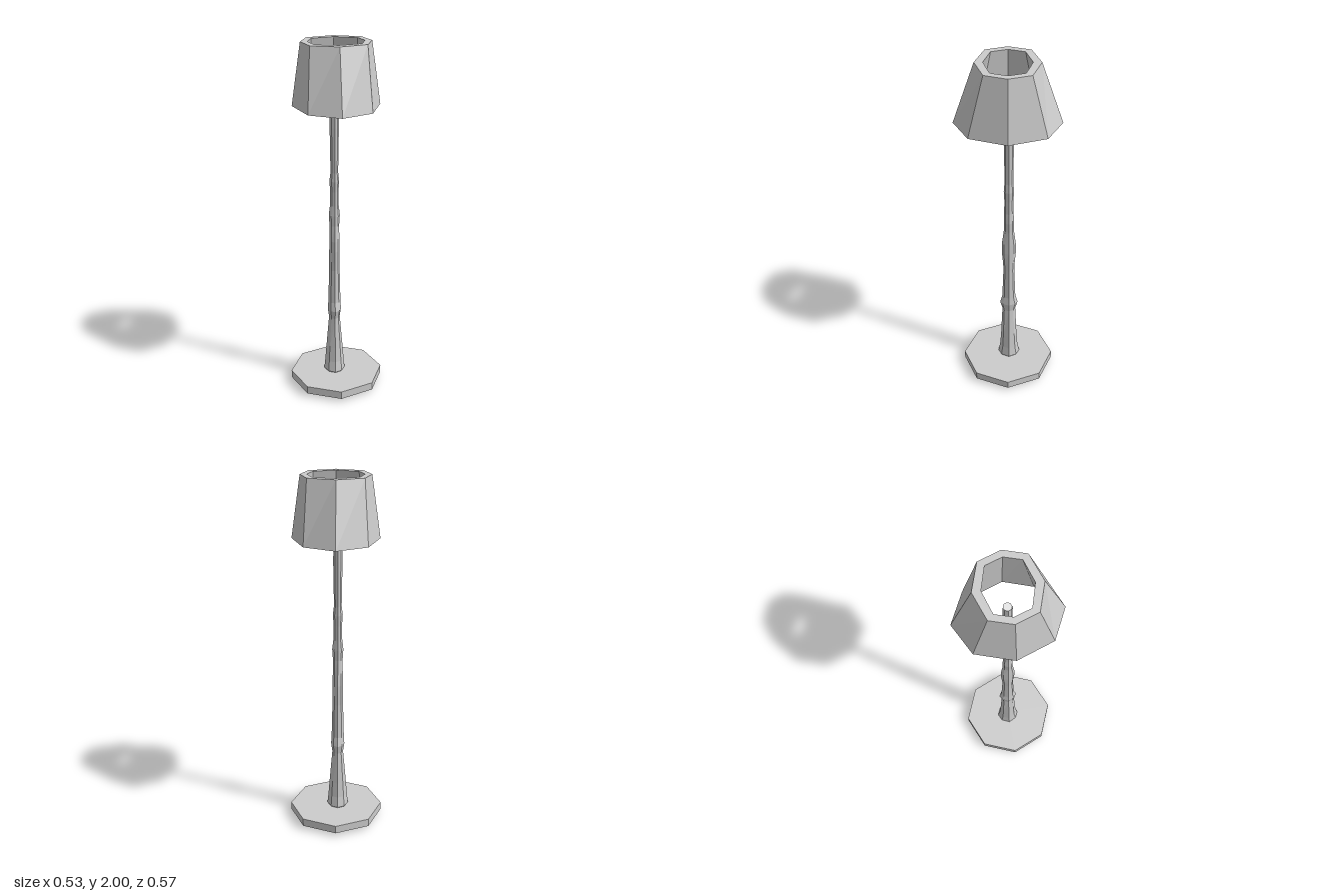
import * as THREE from 'three';

const SIDES = 8;

// Eight-sided ring: half-widths on the axes (rx, rz) and the diagonal corner (dx, dz)
function ring(y, rx, rz, dx = rx * 0.64, dz = rz * 0.71) {
  return [[0, rz], [dx, dz], [rx, 0], [dx, -dz], [0, -rz], [-dx, -dz], [-rx, 0], [-dx, dz]]
    .map(([x, z]) => new THREE.Vector3(x, y, z));
}

// Skin a list of rings, outward side on the right going up
function loft(rings) {
  const pos = [];
  const add = (...pts) => pts.forEach((p) => pos.push(p.x, p.y, p.z));
  for (let i = 0; i < rings.length - 1; i++) {
    for (let j = 0; j < SIDES; j++) {
      const k = (j + 1) % SIDES;
      const [a, b, c, d] = [rings[i][j], rings[i][k], rings[i + 1][k], rings[i + 1][j]];
      add(a, b, c, a, c, d);
    }
  }
  const geo = new THREE.BufferGeometry();
  geo.setAttribute('position', new THREE.Float32BufferAttribute(pos, 3));
  geo.computeVertexNormals();
  return geo;
}

export function createModel() {
  const grey = new THREE.MeshStandardMaterial({ color: 0xcccccc, flatShading: true });
  grey.name = 'grey';
  const white = new THREE.MeshStandardMaterial({ color: 0xffffff, flatShading: true });
  white.name = 'white';

  const model = new THREE.Group();
  model.name = 'floorLamp';
  const part = (name, geo, mat, parent = model) => {
    const mesh = new THREE.Mesh(geo, mat);
    mesh.name = name;
    parent.add(mesh);
    return mesh;
  };

  // Flat octagonal foot
  part('base', new THREE.CylinderGeometry(0.265, 0.265, 0.045, SIDES), grey).position.y = 0.0425;

  // Knobbly pole, a little off centre: [y, half-width in x, half-width in z]
  const pole = new THREE.Group();
  pole.name = 'pole';
  pole.position.set(-0.01, 0, -0.005);
  model.add(pole);
  const profile = [
    [0, 0.022, 0.022], [0.02, 0.028, 0.028], [0.07, 0.06, 0.063], [0.13, 0.054, 0.052],
    [0.22, 0.047, 0.046], [0.41, 0.031, 0.038], [0.46, 0.038, 0.051], [0.51, 0.035, 0.038],
    [0.71, 0.03, 0.031], [0.76, 0.03, 0.034], [0.83, 0.029, 0.04], [0.89, 0.028, 0.039],
    [0.98, 0.027, 0.028], [1.04, 0.031, 0.028], [1.1, 0.024, 0.026], [1.18, 0.023, 0.025],
    [1.24, 0.027, 0.028], [1.29, 0.021, 0.024], [1.42, 0.023, 0.025], [1.54, 0.025, 0.026],
    [1.66, 0.023, 0.025], [1.8, 0.023, 0.025],
  ];
  part('poleShaft', loft(profile.map((p) => ring(...p))), grey, pole);

  // Closed ends of the pole
  part('poleFoot', new THREE.CircleGeometry(0.021, SIDES), grey, pole).rotation.x = Math.PI / 2;
  const tip = part('poleTip', new THREE.CircleGeometry(0.023, SIDES), white, pole);
  tip.rotation.x = -Math.PI / 2;
  tip.position.y = 1.8;

  // Thick hollow shade, open at both ends
  const outerBottom = ring(1.665, 0.235, 0.283, 0.166, 0.2);
  part('shade', loft([
    outerBottom,
    ring(2, 0.187, 0.168, 0.147, 0.119),
    ring(2, 0.15, 0.124, 0.121, 0.088),
    ring(1.665, 0.185, 0.215, 0.131, 0.152),
    outerBottom,
  ]), grey);

  return model;
}
